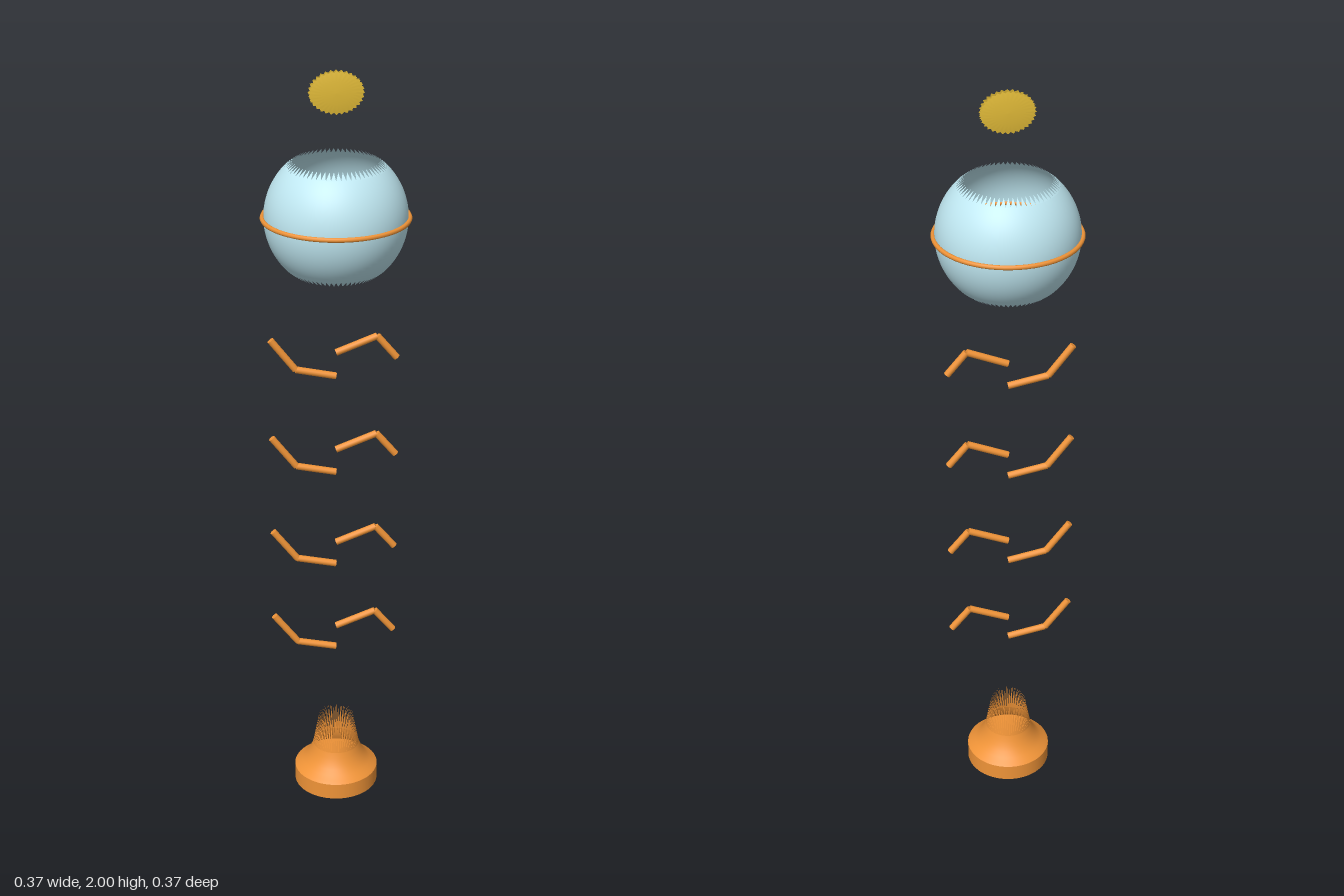
import * as THREE from 'three';

const material = (color) => new THREE.MeshStandardMaterial({ color, side: THREE.DoubleSide });
const orange = material(0xf09438);
const glass = material(0xc0e8f2);
const gold = material(0xe2bb38);

function addMesh(parent, name, geometry, mat) {
  const mesh = new THREE.Mesh(geometry, mat);
  mesh.name = name;
  parent.add(mesh);
  return mesh;
}

// Ring of separate triangular teeth running from radius r0 at y0 to tips at r1, y1
function teeth(count, r0, y0, r1, y1) {
  const pos = [], nor = [];
  const flip = Math.sign(y1 - y0);
  const n = new THREE.Vector2(y1 - y0, r0 - r1).multiplyScalar(flip).normalize();
  const step = (Math.PI * 2) / count;
  for (let i = 0; i < count; i++) {
    const corners = [[i, r0, y0], [i + 0.5, r1, y1], [i + 1, r0, y0]];
    if (flip > 0) corners.reverse();
    for (const [k, r, y] of corners) {
      const c = Math.cos(k * step), s = Math.sin(k * step);
      pos.push(c * r, y, s * r);
      nor.push(c * n.x, n.y, s * n.x);
    }
  }
  const g = new THREE.BufferGeometry();
  g.setAttribute('position', new THREE.Float32BufferAttribute(pos, 3));
  g.setAttribute('normal', new THREE.Float32BufferAttribute(nor, 3));
  return g;
}

// Straight round rod between two points in the x-y plane
function rod(parent, name, [x0, y0], [x1, y1]) {
  const dir = new THREE.Vector3(x1 - x0, y1 - y0, 0);
  const mesh = addMesh(parent, name, new THREE.CylinderGeometry(0.009, 0.009, dir.length(), 12), orange);
  mesh.position.set((x0 + x1) / 2, (y0 + y1) / 2, 0);
  mesh.quaternion.setFromUnitVectors(new THREE.Vector3(0, 1, 0), dir.normalize());
}

// Oval, slightly domed disc with a serrated edge
function coinFace(bulge) {
  const segments = 64;
  const g = new THREE.RingGeometry(0, 1, segments, 4);
  const p = g.attributes.position;
  for (let i = 0; i < p.count; i++) {
    const x = p.getX(i), y = p.getY(i), r = Math.hypot(x, y);
    const k = r > 0.99 && (i % (segments + 1)) % 2 ? 0.91 : 1;
    p.setXYZ(i, x * k * 0.068, y * k * 0.053, bulge * (1 - r * r));
  }
  g.computeVertexNormals();
  return g;
}

export function createModel() {
  const model = new THREE.Group();
  model.name = 'explodedOrnament';

  // Base: foot drum, flared shoulder and serrated neck
  const base = new THREE.Group();
  base.name = 'base';
  model.add(base);
  addMesh(base, 'foot', new THREE.CylinderGeometry(0.114, 0.114, 0.045, 64), orange).position.y = 0.0225;
  const flare = [[0.114, 0.045], [0.106, 0.052], [0.094, 0.061], [0.083, 0.073], [0.075, 0.086], [0.068, 0.1], [0.063, 0.115]];
  addMesh(base, 'flare', new THREE.LatheGeometry(flare.map(([x, y]) => new THREE.Vector2(x, y)), 64), orange);
  addMesh(base, 'neckSpikes', teeth(64, 0.063, 0.115, 0.046, 0.206), orange);

  // Four tiers of bent arms
  const left = [[0, 1.28], [0.105, 1.321], [0.155, 1.261]];
  const right = [[0, 1.216], [-0.103, 1.237], [-0.166, 1.319]];
  for (const drop of [0, 0.27, 0.54, 0.795]) {
    const tier = new THREE.Group();
    tier.name = 'armTier';
    tier.position.y = -drop;
    model.add(tier);
    for (const [side, path] of [['leftArm', left], ['rightArm', right]]) {
      rod(tier, side + 'Inner', path[0], path[1]);
      rod(tier, side + 'Outer', path[1], path[2]);
    }
  }

  // Globe open at both ends with serrated rims
  const globe = new THREE.Group();
  globe.name = 'globe';
  globe.position.y = 1.637;
  model.add(globe);
  const R = 0.178, rim = 0.125, open = Math.asin(rim / R), rimY = R * Math.cos(open);
  addMesh(globe, 'shell', new THREE.SphereGeometry(R, 64, 32, 0, Math.PI * 2, open, Math.PI - 2 * open), glass);
  for (const s of [1, -1]) {
    addMesh(globe, s > 0 ? 'upperTeeth' : 'lowerTeeth', teeth(64, rim, s * rimY, 0.105, s * 0.143), glass);
  }

  // Thin band round the equator
  const band = addMesh(globe, 'equatorBand', new THREE.TorusGeometry(0.181, 0.006, 8, 64), orange);
  band.rotation.x = Math.PI / 2;

  // Coin: two separate faces
  const coin = new THREE.Group();
  coin.name = 'coin';
  coin.position.y = 1.947;
  model.add(coin);
  addMesh(coin, 'coinFront', coinFace(0.004), gold).position.z = 0.013;
  const back = addMesh(coin, 'coinBack', coinFace(0.004), gold);
  back.rotation.y = Math.PI;
  back.position.z = -0.001;

  return model;
}
